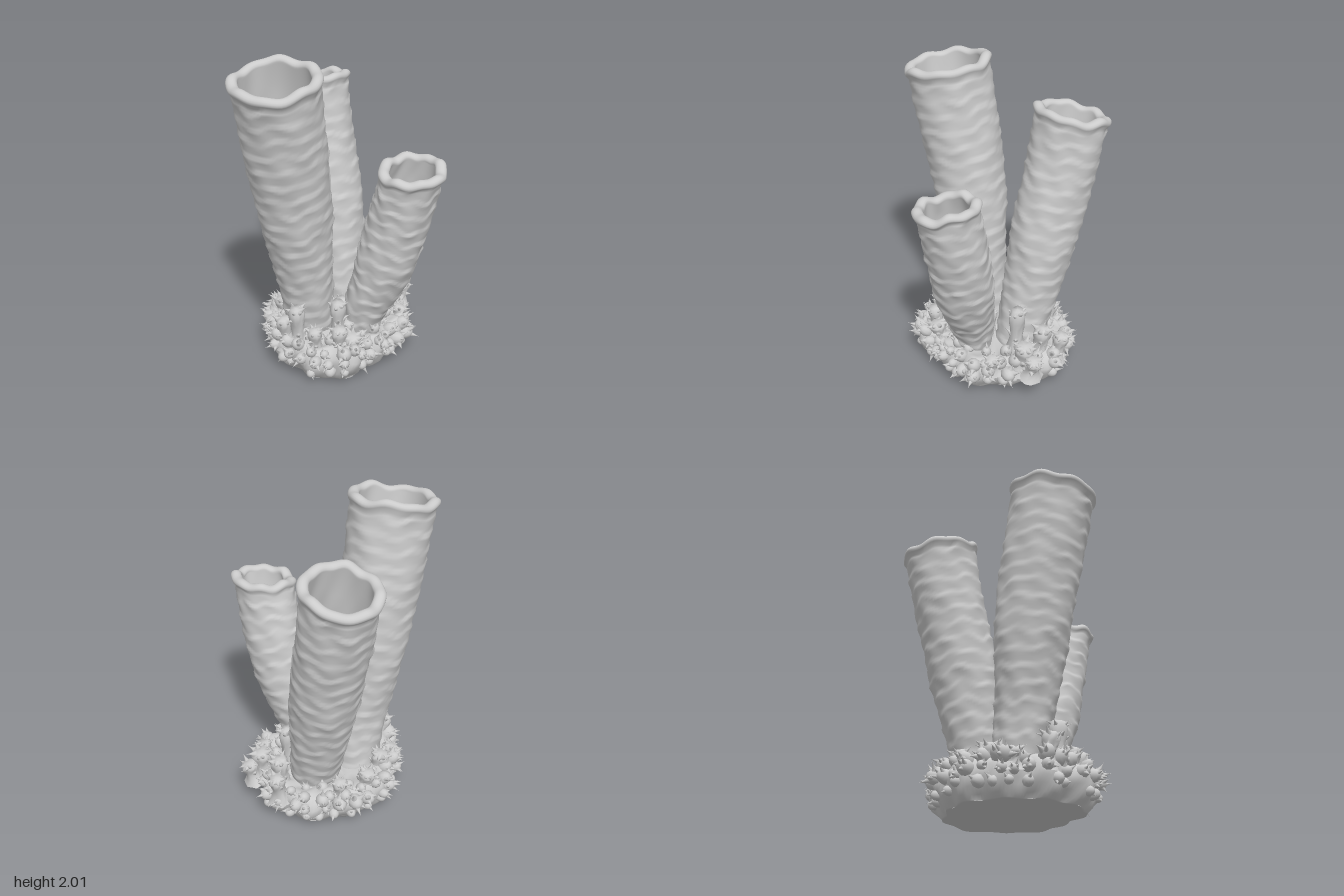
import * as THREE from 'three';
import { mergeGeometries } from 'three/addons/utils/BufferGeometryUtils.js';

const V = (x, y, z) => new THREE.Vector3(x, y, z);
const UP = V(0, 1, 0);
const material = new THREE.MeshStandardMaterial({ color: 0xcccccc });

// Small seeded random generator
let seed = 7;
const rand = (a = 0, b = 1) => {
  seed = (seed * 16807) % 2147483647;
  return a + (b - a) * (seed / 2147483647);
};

// Smooth waviness, periodic in the angle
const wave = (a, h, k) =>
  (Math.sin(3 * a + 5 * h + k) + Math.sin(5 * a - 9 * h + 2 * k) + Math.sin(8 * a + 14 * h + 3 * k)) / 3;

// Closed-around surface: point(i, angle) for each ring i
function ringSurface(rings, sides, point) {
  const pos = [], index = [];
  for (let i = 0; i < rings; i++)
    for (let j = 0; j < sides; j++) pos.push(...point(i, (j / sides) * Math.PI * 2).toArray());
  for (let i = 0; i < rings - 1; i++)
    for (let j = 0; j < sides; j++) {
      const k = (j + 1) % sides;
      const a = i * sides + j, b = i * sides + k, c = b + sides, d = a + sides;
      index.push(a, b, c, a, c, d);
    }
  const g = new THREE.BufferGeometry();
  g.setAttribute('position', new THREE.Float32BufferAttribute(pos, 3));
  g.setIndex(index);
  g.computeVertexNormals();
  return g;
}

// Linear interpolation through evenly spaced values
const sample = (list, t) => {
  const f = Math.min(Math.max(t, 0), 1) * (list.length - 1);
  const i = Math.min(Math.floor(f), list.length - 2);
  return THREE.MathUtils.lerp(list[i], list[i + 1], f - i);
};

// Hollow sponge tube: ribbed outside, rolled lip, smooth inside closed by a floor
function spongeTube({ path, radii, rim, k }) {
  const curve = new THREE.CatmullRomCurve3(path.map(p => V(...p)));
  const length = curve.getLength();
  const rimNormal = V(...rim).normalize();
  const rows = []; // [position along, radius offset, lift]
  const n = 96;
  for (let i = 0; i <= n; i++) rows.push([i / n * 0.975, 0, 0]);
  for (let i = 0; i <= 10; i++) {
    const a = -0.5 + (i / 10) * (Math.PI + 0.9);
    rows.push([1, -0.013 + 0.034 * Math.cos(a), 0.028 * Math.sin(a) - 0.005]);
  }
  for (let i = 1; i <= 16; i++) rows.push([0.975 - i * 0.043, -0.04, 0]);
  const outer = n + 1, last = rows.length;
  return ringSurface(last + 1, 72, (i, a) => {
    const [s, off, lift] = rows[Math.min(i, last - 1)];
    const c = curve.getPointAt(s);
    const t = curve.getTangentAt(s).lerp(rimNormal, THREE.MathUtils.smoothstep(s, 0.7, 1)).normalize();
    const u = V(1, 0, 0).addScaledVector(t, -t.x).normalize();
    const v = t.clone().cross(u);
    let r = sample(radii, s) + off + 0.006 * wave(a, s * 2, k);
    if (i < outer) {
      const phase = s * length / 0.1 + 0.3 * wave(a, s, k + 2);
      const saw = phase - Math.floor(phase);
      r += (0.014 * Math.pow(saw, 1.5) * (saw > 0.85 ? (1 - saw) / 0.15 : 1)) * (0.7 + 0.6 * wave(a, s * 5, k));
    }
    if (i === last) r = 0;
    const rise = lift + 0.02 * wave(a, 0, k + 1) * THREE.MathUtils.smoothstep(s, 0.88, 1);
    return c.addScaledVector(u, r * Math.cos(a)).addScaledVector(v, r * Math.sin(a)).addScaledVector(t, rise);
  });
}

// Concave pointed thorn
function thorn(at, dir, len, width) {
  const pts = [];
  for (let i = 0; i <= 5; i++) pts.push(new THREE.Vector2(width * Math.pow(1 - i / 5, 1.6), (len * i) / 5));
  const g = new THREE.LatheGeometry(pts, 7);
  g.applyQuaternion(new THREE.Quaternion().setFromUnitVectors(UP, dir.clone().normalize()));
  return g.translate(at.x, at.y, at.z);
}

const jitter = (d, amount) =>
  d.clone().add(V(rand(-amount, amount), rand(-amount, amount), rand(-amount, amount))).normalize();

// Rounded lump carrying a few thorns
function knob(at, dir, size, thorns) {
  const d = dir.clone().normalize();
  const lump = new THREE.SphereGeometry(size, 10, 8).scale(1, 1.3, 1);
  lump.applyQuaternion(new THREE.Quaternion().setFromUnitVectors(UP, d)).translate(at.x, at.y, at.z);
  const parts = [lump];
  for (let i = 0; i < thorns; i++) {
    const td = jitter(d, 0.8);
    parts.push(thorn(at.clone().addScaledVector(td, size * 0.7), td, size * rand(1.0, 1.7), size * 0.55));
  }
  return mergeGeometries(parts);
}

// Upright branch with a flared, thorny crown
function finger(foot, tip, r) {
  const axis = tip.clone().sub(foot), d = axis.clone().normalize();
  const u = V(1, 0, 0).addScaledVector(d, -d.x).normalize(), v = d.clone().cross(u);
  const prof = [1.7, 1.35, 1.1, 0.95, 0.9, 0.95, 1.1, 1.15, 0.8, 0];
  const k = rand(0, 6);
  const parts = [ringSurface(prof.length, 14, (i, a) => {
    const h = Math.min(i / 8, 1), rr = r * prof[i] * (1 + 0.2 * wave(a, h, k));
    return foot.clone().addScaledVector(axis, h).addScaledVector(u, rr * Math.cos(a)).addScaledVector(v, rr * Math.sin(a));
  })];
  parts.forEach(g => g.setAttribute('uv', new THREE.Float32BufferAttribute(g.attributes.position.count * 2, 2)));
  for (let i = 0; i < 11; i++) {
    const a = i * 2.4, side = u.clone().multiplyScalar(Math.cos(a)).addScaledVector(v, Math.sin(a));
    const h = i < 7 ? rand(0.86, 0.96) : rand(0.4, 0.75);
    parts.push(thorn(foot.clone().addScaledVector(axis, h).addScaledVector(side, r * 0.7),
      side.addScaledVector(d, rand(0.2, 0.9)), r * rand(0.8, 1.3), r * 0.45));
  }
  return mergeGeometries(parts);
}

// Base outline radius by angle (from +x towards the back)
const CX = -0.09, CZ = -0.03;
const outline = [0.43, 0.43, 0.42, 0.49, 0.5, 0.48, 0.44, 0.46, 0.44, 0.43, 0.44, 0.47, 0.48, 0.5, 0.42, 0.4, 0.43];
const baseRadius = a => sample(outline, (((a / (Math.PI * 2)) % 1) + 1) % 1) + 0.018 * Math.sin(11 * a);
const onBase = (a, f, y) => V(CX + baseRadius(a) * f * Math.cos(a), y, CZ - baseRadius(a) * f * Math.sin(a));

function baseBody() {
  const prof = [[0, 0], [0.5, 0], [0.85, 0], [0.86, 0.005], [0.91, 0.03], [0.97, 0.07], [1, 0.11], [1.01, 0.15],
    [0.99, 0.19], [0.95, 0.22], [0.89, 0.235], [0.82, 0.23], [0.72, 0.215], [0.55, 0.2], [0.3, 0.2], [0, 0.2]];
  return ringSurface(prof.length, 150, (i, a) => {
    const [f, y] = prof[i];
    const bump = y > 0 ? 0.035 * wave(a * 3, y * 4, 1) : 0;
    return onBase(a, f * (1 + bump), y > 0.01 ? y + 0.02 * wave(a * 2, f, 4) * Math.min(1, y * 6) : y);
  });
}

export function createModel() {
  const model = new THREE.Group();
  const add = (name, geometry) => {
    const mesh = new THREE.Mesh(geometry, material);
    mesh.name = name;
    model.add(mesh);
  };

  // Three leaning tubes
  add('tallFrontTube', spongeTube({
    path: [[-0.23, 0.1, 0.06], [-0.235, 0.5, 0.13], [-0.265, 1, 0.2], [-0.285, 1.5, 0.29], [-0.295, 1.93, 0.375]],
    radii: [0.15, 0.172, 0.222, 0.243, 0.252], rim: [0, 1, 0.18], k: 1 }));
  add('backTube', spongeTube({
    path: [[-0.08, 0.1, -0.2], [-0.15, 0.45, -0.25], [-0.25, 1, -0.32], [-0.335, 1.4, -0.375], [-0.39, 1.7, -0.405]],
    radii: [0.14, 0.175, 0.21, 0.215, 0.22], rim: [-0.22, 1, -0.12], k: 2.7 }));
  add('shortSideTube', spongeTube({
    path: [[0.07, 0.1, 0.02], [0.14, 0.4, 0.02], [0.22, 0.6, 0.015], [0.33, 1, 0.015], [0.415, 1.355, 0.04]],
    radii: [0.1, 0.145, 0.185, 0.188, 0.182], rim: [0, 1, 0.15], k: 4.4 }));

  // Lumpy base
  add('base', baseBody());

  // Thorny knobs around the side and rim of the base
  const knobs = [];
  for (const [count, y, f, lift, size] of [[26, 0.09, 0.96, -0.1, 0.035], [30, 0.16, 1.0, 0.15, 0.04], [30, 0.22, 0.95, 0.8, 0.04], [18, 0.23, 0.75, 1.6, 0.035]])
    for (let i = 0; i < count; i++) {
      const a = ((i + rand(-0.3, 0.3)) / count) * Math.PI * 2 + y * 9;
      knobs.push(knob(onBase(a, f, y + rand(-0.02, 0.02)), V(Math.cos(a), lift, -Math.sin(a)),
        size * rand(0.75, 1.2), y < 0.1 ? 1 : 4));
    }
  add('baseKnobs', mergeGeometries(knobs));

  // Upright thorny branches: tip x, y, z and thickness
  const fingers = [
    [-0.22, 0.46, 0.35, 0.045], [-0.31, 0.37, 0.35, 0.045], [-0.09, 0.34, 0.37, 0.04], [0.01, 0.48, 0.22, 0.045],
    [0.06, 0.36, 0.33, 0.045], [0.07, 0.52, -0.27, 0.045], [0.03, 0.4, -0.43, 0.05], [-0.02, 0.35, -0.54, 0.045],
    [0.2, 0.36, -0.38, 0.055], [0.24, 0.3, -0.46, 0.045], [0.3, 0.27, -0.2, 0.04], [-0.05, 0.36, -0.02, 0.04],
    [-0.46, 0.31, -0.16, 0.045], [-0.45, 0.32, 0.04, 0.05], [-0.45, 0.27, 0.2, 0.045], [0.13, 0.29, 0.28, 0.05],
    [0.05, 0.3, 0.14, 0.04], [-0.36, 0.32, -0.34, 0.04]];
  add('thornyBranches', mergeGeometries(fingers.map(([x, y, z, r]) =>
    finger(V(CX + (x - CX) * 0.92, 0.15, CZ + (z - CZ) * 0.92), V(x, y, z), r))));
  return model;
}
